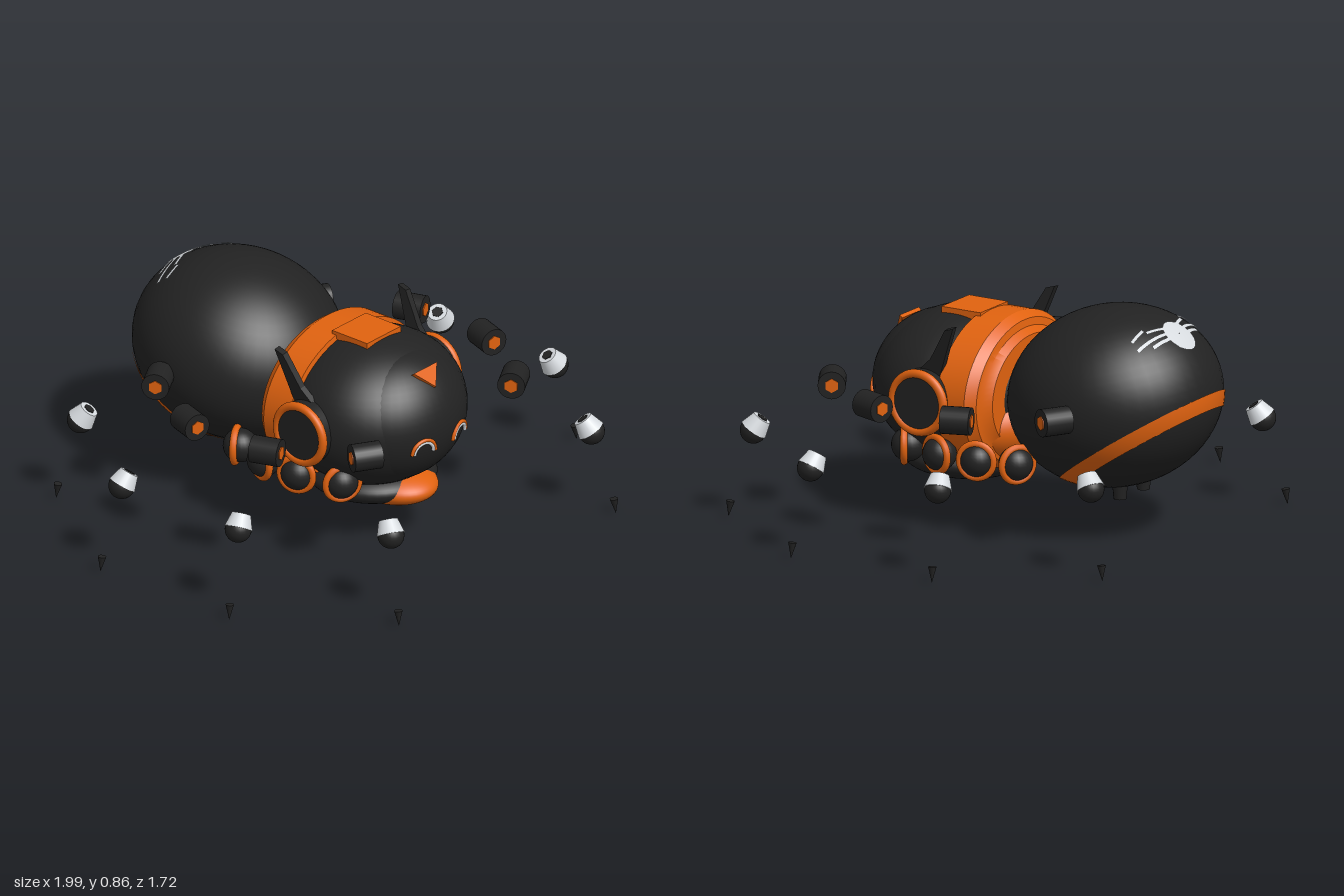
import * as THREE from 'three';
import { toCreasedNormals } from 'three/addons/utils/BufferGeometryUtils.js';

const material = (name, color, side = THREE.FrontSide) => {
  const m = new THREE.MeshStandardMaterial({ color, side });
  m.name = name;
  return m;
};

export function createModel() {
  const black = material('black shell', 0x222222);
  const orange = material('orange trim', 0xe0620f);
  const silver = material('silver', 0xd6dade, THREE.DoubleSide);
  const model = new THREE.Group();

  const add = (name, geometry, mat, pos = [0, 0, 0], parent = model) => {
    const mesh = new THREE.Mesh(geometry, mat);
    mesh.name = name;
    mesh.position.set(...pos);
    parent.add(mesh);
    return mesh;
  };
  const ellipsoid = (rx, ry, rz) => new THREE.SphereGeometry(1, 48, 32).scale(rx, ry, rz);
  const crease = (g) => toCreasedNormals(g, 0.6);

  // Abdomen: tilted ellipsoid with a slanting painted band
  const abdomenPos = [0, 0.514, -0.45];
  const tilt = 0.24;
  add('abdomen', ellipsoid(0.385, 0.339, 0.409).rotateX(tilt), black, abdomenPos);
  add('abdomenBand', new THREE.SphereGeometry(1.01, 64, 6, 0, Math.PI * 2, 2.09, 0.18)
    .rotateX(0.413).scale(0.385, 0.339, 0.409).rotateX(tilt), orange, abdomenPos);
  for (const s of [1, -1]) {
    add('spinneret', new THREE.CylinderGeometry(0.03, 0.024, 0.07, 12), black, [s * 0.08, 0.182, -0.52]);
  }

  // Pale marking draped over the top of the abdomen
  const drape = (g) => {
    const p = g.attributes.position;
    for (let i = 0; i < p.count; i++) {
      const x = p.getX(i), dz = p.getZ(i) + 0.45;
      const root = Math.sqrt(Math.max(0, 1 - dz * dz / 0.1643 - x * x / 0.1482));
      p.setY(i, 0.52 - 0.0737 * dz + 0.342 * root);
    }
    g.computeVertexNormals();
    return g;
  };
  add('markingBody', drape(new THREE.RingGeometry(0.001, 0.068, 28, 5)
    .rotateX(-Math.PI / 2).scale(1, 1, 0.85).translate(0, 0, -0.727)), silver);
  const markingLegs = [
    [0.05, -0.73, 0.15, -0.71], [0.05, -0.71, 0.2, -0.675],
    [0.04, -0.69, 0.12, -0.66], [0.12, -0.645, 0.19, -0.642],
  ];
  for (const s of [1, -1]) {
    for (const [x0, z0, x1, z1] of markingLegs) {
      const dx = s * (x1 - x0), dz = z1 - z0;
      add('markingLeg', drape(new THREE.PlaneGeometry(Math.hypot(dx, dz), 0.013, 8, 1)
        .rotateX(-Math.PI / 2).rotateY(Math.atan2(-dz, dx))
        .translate(s * (x0 + x1) / 2, 0, (z0 + z1) / 2)), silver);
    }
  }

  // Thorax and stepped collar behind the head
  add('thorax', ellipsoid(0.28, 0.16, 0.22), orange, [0, 0.36, 0.05]);
  const collar = [[0.001, -0.085], [0.27, -0.085], [0.3, -0.06], [0.335, -0.055], [0.365, -0.02], [0.365, 0.1], [0.33, 0.105]]
    .map(([r, z]) => new THREE.Vector2(r, z));
  add('collar', crease(new THREE.LatheGeometry(collar, 64).rotateX(Math.PI / 2).scale(1, 0.8, 1)),
    orange, [0, 0.475, 0]);

  // Head, face shell and top plate
  add('head', ellipsoid(0.36, 0.287, 0.335), black, [0, 0.473, 0.2]);
  add('faceShell', ellipsoid(0.305, 0.258, 0.26), black, [0, 0.478, 0.287]);
  add('topPlate', new THREE.BoxGeometry(0.19, 0.03, 0.17), orange, [0, 0.755, 0.165]);

  // Forehead triangle
  const tri = new THREE.Shape([[-0.065, 0.04], [0, -0.04], [0.065, 0.04]].map((p) => new THREE.Vector2(...p)));
  add('foreheadTriangle', new THREE.ExtrudeGeometry(tri, { depth: 0.015, bevelEnabled: false }),
    orange, [0, 0.66, 0.465]).rotation.x = -0.7;

  // Smiling arched eyes
  for (const s of [1, -1]) {
    const eye = new THREE.Group();
    eye.name = 'eye';
    eye.position.set(s * 0.1, 0.415, 0.529);
    eye.rotation.set(0.12, s * 0.25, 0);
    model.add(eye);
    add('eyeOuterArc', new THREE.TorusGeometry(0.052, 0.007, 8, 24, Math.PI), orange, [0, 0, 0], eye);
    add('eyeInnerArc', new THREE.TorusGeometry(0.042, 0.007, 8, 24, Math.PI), silver, [0, 0, 0.001], eye);
  }

  // Jaw and its chin plate
  add('jaw', ellipsoid(0.24, 0.078, 0.245), black, [0, 0.2, 0.19]);
  add('chinPlate', ellipsoid(0.155, 0.07, 0.2), orange, [0, 0.19, 0.275]);

  // Ear discs and horns
  const hornShape = new THREE.Shape([[-0.23, 0.56], [-0.14, 0.645], [-0.068, 0.768], [-0.03, 0.78], [-0.1, 0.59], [-0.13, 0.55]]
    .reverse().map((p) => new THREE.Vector2(...p)));
  for (const s of [1, -1]) {
    add('earDisc', new THREE.CylinderGeometry(0.12, 0.12, 0.07, 40).rotateZ(Math.PI / 2), black, [s * 0.355, 0.48, 0.17]);
    add('earRing', new THREE.TorusGeometry(0.11, 0.017, 12, 48).rotateY(Math.PI / 2), orange, [s * 0.38, 0.48, 0.17]);
    const horn = add('horn', new THREE.ExtrudeGeometry(hornShape, { depth: 0.026, bevelEnabled: false })
      .translate(0, -0.6, -0.013).rotateY(Math.PI / 2), black, [s * 0.325, 0.6, 0]);
    horn.rotation.z = -s * 0.13;
  }

  // Legs: hip, hinge knee, cuffed ankle and claw, laid out along local +x
  const legs = [
    // hip x, hip z, knee x, knee z
    [0.27, 0.27, 0.418, 0.52],
    [0.315, 0.108, 0.62, 0.215],
    [0.315, -0.05, 0.625, -0.155],
    [0.285, -0.19, 0.443, -0.465],
  ];
  for (const s of [1, -1]) {
    for (const [hx, hz, kx, kz] of legs) {
      const leg = new THREE.Group();
      leg.name = 'leg';
      leg.position.set(s * hx, 0, hz);
      leg.rotation.y = Math.atan2(-(kz - hz), s * (kx - hx));
      model.add(leg);
      const knee = Math.hypot(kx - hx, kz - hz);
      const ankle = knee + 0.29, foot = knee + 0.378;

      add('hip', new THREE.SphereGeometry(0.064, 24, 16), black, [0.01, 0.282, 0], leg);
      add('hipRing', new THREE.TorusGeometry(0.064, 0.014, 10, 32).rotateY(Math.PI / 2), orange, [0.025, 0.282, 0], leg);

      add('kneeHinge', new THREE.CylinderGeometry(0.052, 0.052, 0.11, 24).rotateX(Math.PI / 2), black, [knee, 0.517, 0], leg);
      add('kneeBolt', new THREE.CylinderGeometry(0.027, 0.027, 0.118, 6).rotateX(Math.PI / 2), orange, [knee, 0.517, 0], leg);

      add('ankleBall', new THREE.SphereGeometry(0.05, 24, 16), black, [ankle, 0.33, 0], leg);
      const cuff = new THREE.Group();
      cuff.name = 'ankleCuff';
      cuff.position.set(ankle, 0.33, 0);
      cuff.rotation.z = 0.6;
      leg.add(cuff);
      add('cuff', new THREE.CylinderGeometry(0.036, 0.053, 0.055, 24), silver, [0, 0.03, 0], cuff);
      add('cuffSocket', new THREE.CylinderGeometry(0.022, 0.022, 0.006, 6), black, [0, 0.057, 0], cuff);

      add('claw', new THREE.ConeGeometry(0.016, 0.06, 12).rotateX(Math.PI), black, [foot, 0.03, 0], leg).rotation.z = 0.12;
    }
  }
  return model;
}
